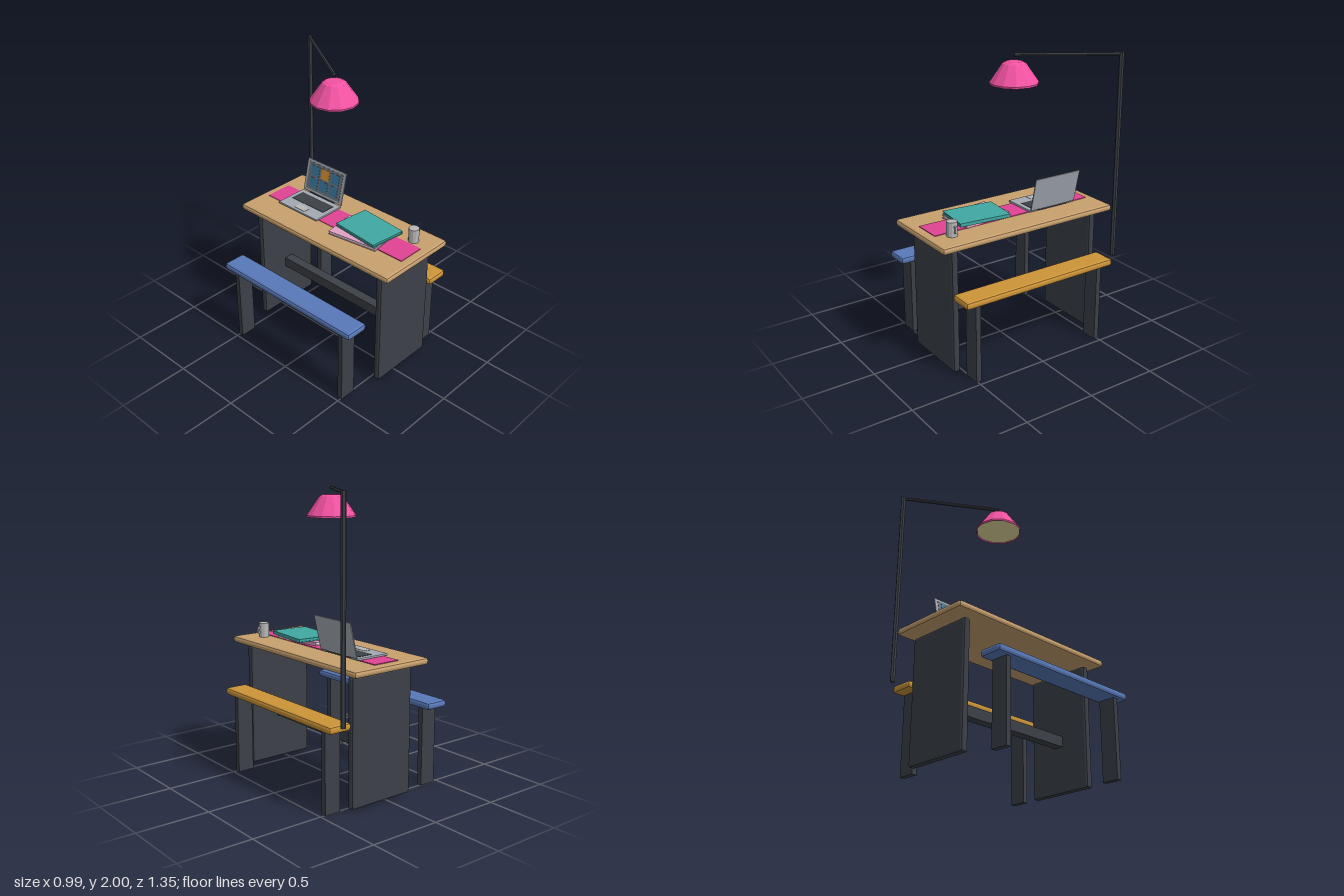
import * as THREE from 'three';
import { RoundedBoxGeometry } from 'three/addons/geometries/RoundedBoxGeometry.js';

const COLORS = {
  wood: 0xc8a06e, dark: 0x3c4148, blue: 0x5878b8, ochre: 0xcc9438, pink: 0xf252a2,
  runner: 0xe04494, teal: 0x40a8a2, rose: 0xe2a2c4, paper: 0xeee4e8, metal: 0xa4aab2,
  steel: 0xb8b8b8, bulb: 0xeadfa0, screen: 0x6a727c, tile: 0x3a789c, orange: 0xd09030,
};
const mats = {};
for (const key in COLORS) {
  mats[key] = new THREE.MeshStandardMaterial({ color: COLORS[key], flatShading: true });
}

function add(parent, name, geometry, mat, x, y, z) {
  const mesh = new THREE.Mesh(geometry, mats[mat]);
  mesh.name = name;
  mesh.position.set(x, y, z);
  parent.add(mesh);
  return mesh;
}

// box given by its centre and size; a bevel chamfers the edges
function box(parent, name, mat, [x, y, z], [w, h, d], bevel = 0) {
  const geo = bevel ? new RoundedBoxGeometry(w, h, d, 1, bevel) : new THREE.BoxGeometry(w, h, d);
  return add(parent, name, geo, mat, x, y, z);
}

function group(parent, name, x = 0, y = 0, z = 0) {
  const g = new THREE.Group();
  g.name = name;
  g.position.set(x, y, z);
  parent.add(g);
  return g;
}

// hexagonal bar between two points
function bar(parent, name, a, b, radius) {
  const dir = b.clone().sub(a);
  const mesh = add(parent, name, new THREE.CylinderGeometry(radius, radius, dir.length(), 6), 'dark', 0, 0, 0);
  mesh.position.copy(a).add(b).multiplyScalar(0.5);
  mesh.quaternion.setFromUnitVectors(new THREE.Vector3(0, 1, 0), dir.normalize());
}

function buildTable(parent) {
  const g = group(parent, 'table');
  box(g, 'tableTop', 'wood', [0.065, 0.913, 0], [0.61, 0.046, 1.345], 0.018);
  for (const s of [1, -1]) box(g, 'endPanel', 'dark', [0.065, 0.445, s * 0.554], [0.49, 0.86, 0.05], 0.016);
  box(g, 'stretcher', 'dark', [0.065, 0.373, 0], [0.07, 0.074, 1.08]);
  box(g, 'runner', 'runner', [0.067, 0.938, 0], [0.196, 0.006, 1.225]);
}

function buildBench(parent, name, mat, x) {
  const g = group(parent, name, x);
  box(g, 'seat', mat, [0, 0.571, 0], [0.168, 0.05, 1.176], 0.018);
  for (const s of [1, -1]) box(g, 'benchLeg', 'dark', [0, 0.275, s * 0.491], [0.118, 0.55, 0.036]);
}

function buildLamp(parent) {
  const g = group(parent, 'lamp');
  const top = new THREE.Vector3(0.434, 1.987, -0.638);
  bar(g, 'pole', new THREE.Vector3(0.434, 0.595, -0.638), top.clone().setY(2), 0.017);
  bar(g, 'arm', top, new THREE.Vector3(0.065, 1.987, -0.062), 0.012);
  // shade: closed top, flared skirt, pale diffuser set inside the rim
  const profile = [[0.16, 1.8], [0.161, 1.812], [0.078, 1.932], [0.055, 1.944], [0, 1.944]]
    .map(([r, y]) => new THREE.Vector2(r, y));
  add(g, 'shade', new THREE.LatheGeometry(profile, 12), 'pink', 0.065, 0, -0.062);
  mats.pink.side = THREE.DoubleSide;
  const disc = add(g, 'diffuser', new THREE.CylinderGeometry(0.157, 0.157, 0.004, 12), 'bulb', 0.065, 1.808, -0.062);
  disc.scale.set(0.99, 1, 0.99);
}

function buildBook(parent, name, mat, [x, y, z], [w, h, d], turn) {
  const g = group(parent, name, x, y, z);
  g.rotation.y = turn;
  const t = 0.005;
  for (const s of [1, -1]) box(g, 'cover', mat, [0, s * (h - t) / 2, 0], [w, t, d]);
  box(g, 'spine', mat, [w / 2 - t / 2, 0, 0], [t, h - 2 * t, d]);
  box(g, 'pages', mat === 'rose' ? 'paper' : mat, [-t / 2, 0, 0], [w - 0.012, h - 2 * t, d - 0.01]);
}

function buildLaptop(parent) {
  const g = group(parent, 'laptop', 0, 0.941, -0.296);
  box(g, 'base', 'metal', [0.062, 0.007, 0], [0.245, 0.014, 0.366], 0.004);
  box(g, 'keyboard', 'dark', [0.093, 0.0145, 0], [0.106, 0.003, 0.30]);
  box(g, 'trackpad', 'steel', [-0.012, 0.0145, 0], [0.052, 0.003, 0.096]);
  box(g, 'hinge', 'dark', [0.188, 0.013, 0], [0.016, 0.014, 0.23]);
  // lid leans back; its display faces -x
  const lid = group(g, 'lid', 0.191, 0.014, 0);
  lid.rotation.z = -0.23;
  box(lid, 'lidShell', 'metal', [0, 0.12, 0], [0.01, 0.238, 0.366], 0.004);
  box(lid, 'display', 'screen', [-0.005, 0.121, 0], [0.004, 0.2, 0.32]);
  for (let row = 0; row < 2; row++) {
    for (let col = -1; col <= 1; col++) {
      const mat = row === 1 && col === 0 ? 'orange' : 'tile';
      box(lid, 'displayTile', mat, [-0.0075, 0.076 + row * 0.09, col * 0.094], [0.003, 0.074, 0.076]);
    }
  }
}

function buildMug(parent) {
  const g = group(parent, 'mug', 0.212, 0.935, 0.515);
  add(g, 'mugBody', new THREE.CylinderGeometry(0.036, 0.036, 0.1, 12), 'steel', 0, 0.05, 0);
  box(g, 'handleGrip', 'steel', [0.047, 0.053, 0], [0.012, 0.046, 0.014]);
  for (const y of [0.036, 0.07]) box(g, 'handleArm', 'steel', [0.039, y, 0], [0.014, 0.012, 0.014]);
}

export function createModel() {
  const model = new THREE.Group();
  model.name = 'deskWithBenches';
  buildTable(model);
  buildBench(model, 'rightBench', 'blue', -0.412);
  buildBench(model, 'leftBench', 'ochre', 0.41);
  buildLamp(model);
  buildBook(model, 'lowerBook', 'rose', [0.033, 0.953, 0.22], [0.25, 0.023, 0.368], 0.137);
  buildBook(model, 'upperBook', 'teal', [0.077, 0.977, 0.244], [0.264, 0.023, 0.362], -0.102);
  buildLaptop(model);
  buildMug(model);
  return model;
}
